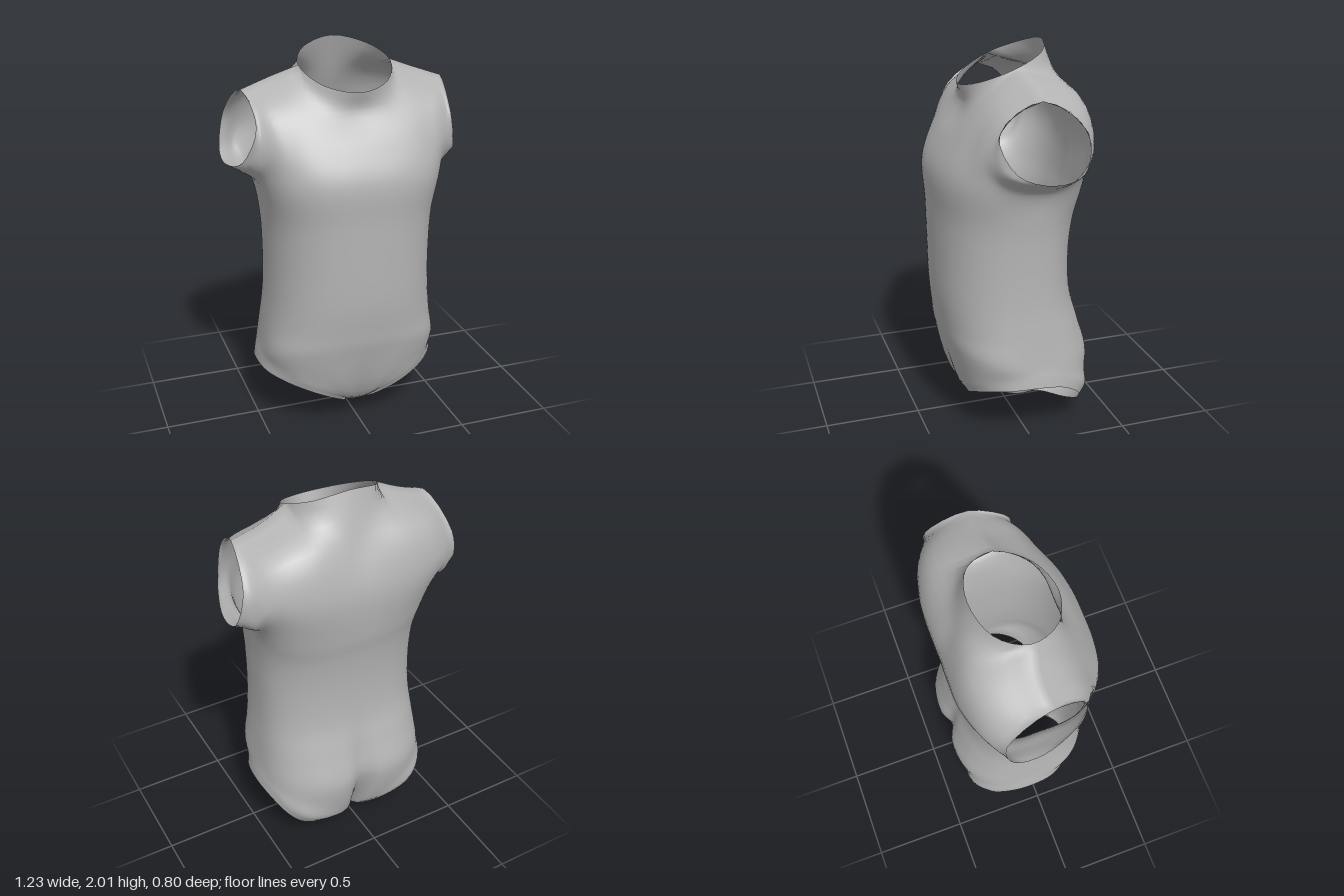
import * as THREE from 'three';
import { mergeVertices } from 'three/addons/utils/BufferGeometryUtils.js';

const V = (x, y, z) => new THREE.Vector3(x, y, z);
const AROUND = 4, UP = 5; // samples between control points

// Control rows run over one half, from the front centre to the back centre (15 points).
const legEdge = [
  [0, 0.035, 0.06], [0.012, 0.04, 0.06], [0.07, 0.1, 0.21], [0.18, 0.17, 0.265], [0.29, 0.225, 0.26],
  [0.4, 0.27, 0.2], [0.47, 0.293, 0.1], [0.49, 0.298, -0.03], [0.475, 0.275, -0.16], [0.42, 0.2, -0.27],
  [0.34, 0.12, -0.3], [0.2, 0.05, -0.28], [0.045, 0.025, -0.18], [0.014, 0.035, -0.03], [0, 0.035, 0.06],
];
const hips = [
  [0, 0.12, 0.235], [0.06, 0.14, 0.255], [0.14, 0.2, 0.285], [0.23, 0.25, 0.29], [0.325, 0.29, 0.265],
  [0.41, 0.325, 0.2], [0.465, 0.345, 0.1], [0.482, 0.35, -0.03], [0.468, 0.33, -0.16], [0.42, 0.26, -0.28],
  [0.34, 0.2, -0.345], [0.23, 0.15, -0.36], [0.11, 0.09, -0.325], [0.03, 0.035, -0.25], [0, 0.002, -0.14],
];
const upperChest = [
  [0, 1.54, 0.33], [0.15, 1.54, 0.325], [0.27, 1.54, 0.31], [0.35, 1.53, 0.29], [0.41, 1.51, 0.27],
  [0.46, 1.48, 0.23], [0.51, 1.42, 0.16], [0.54, 1.375, -0.04], [0.53, 1.42, -0.22], [0.5, 1.5, -0.275],
  [0.43, 1.54, -0.315], [0.35, 1.54, -0.34], [0.25, 1.54, -0.357], [0.1, 1.54, -0.355], [0, 1.54, -0.35],
];
const shoulders = [
  [0, 1.7, 0.225], [0.14, 1.7, 0.225], [0.26, 1.73, 0.19], [0.36, 1.72, 0.18], [0.45, 1.69, 0.18],
  [0.49, 1.56, 0.21], [0.545, 1.45, 0.15], [0.58, 1.4, -0.05], [0.575, 1.45, -0.21], [0.545, 1.58, -0.245],
  [0.48, 1.7, -0.24], [0.38, 1.75, -0.265], [0.25, 1.78, -0.275], [0.1, 1.79, -0.265], [0, 1.79, -0.26],
];
// Neckline, shoulder seam, armhole, the same seam again, back neckline
const topEdge = [
  [0, 1.795, 0.245], [0.16, 1.825, 0.18], [0.24, 1.9, 0.01], [0.37, 1.85, -0.02], [0.53, 1.795, -0.01],
  [0.505, 1.65, 0.19], [0.56, 1.465, 0.12], [0.61, 1.415, -0.05], [0.61, 1.455, -0.19], [0.575, 1.64, -0.22],
  [0.53, 1.795, -0.01], [0.37, 1.85, -0.02], [0.24, 1.9, 0.01], [0.17, 1.96, -0.135], [0, 2, -0.19],
];
// Smooth runs of the top edge, by control point: neck and armholes are closed, seams are open
const topRuns = [
  { ids: [12, 13, 14, 15, 26, 27, 0, 1], closed: true },
  { ids: [4, 5, 6, 7, 8, 9], closed: true },
  { ids: [18, 19, 20, 21, 22, 23], closed: true },
  ...[2, 10, 16, 24].map((k) => ({ ids: [k, k + 1, k + 2], closed: false })),
];

// Trunk section: rounded box outline (smaller p is squarer) with a groove down the back
const angles = [0, 9, 24.5, 40, 54.5, 68, 80, 92, 103, 114, 127, 141, 156, 173, 180];
function trunk(yFront, yBack, width, front, back, p, groove) {
  return angles.map((deg) => {
    const a = THREE.MathUtils.degToRad(deg), c = Math.cos(a);
    const x = deg === 180 ? 0 : width * Math.pow(Math.sin(a), p);
    let z = (c > 0 ? front : -back) * Math.pow(Math.abs(c), p);
    if (c < 0) z += groove * Math.exp(-((x / 0.08) ** 2));
    return [x, (yFront + yBack) / 2 + (c * (yFront - yBack)) / 2, z];
  });
}

const rows = [
  legEdge,
  hips,
  trunk(0.46, 0.34, 0.473, 0.36, 0.405, 0.74, 0.055),
  trunk(0.57, 0.54, 0.455, 0.378, 0.36, 0.78, 0.025),
  trunk(0.72, 0.72, 0.44, 0.395, 0.31, 0.81, 0.005),
  trunk(0.95, 0.95, 0.435, 0.4, 0.298, 0.81, 0),
  trunk(1.16, 1.14, 0.442, 0.4, 0.315, 0.77, 0),
  trunk(1.38, 1.28, 0.475, 0.4, 0.34, 0.7, 0),
  upperChest,
  shoulders,
  topEdge,
];

// Mirror a half row to a full loop and sample it, run by run.
function sampleLoop(half, runs) {
  const pts = half.map((p) => V(...p));
  for (let i = half.length - 2; i > 0; i--) pts.push(V(-half[i][0], half[i][1], half[i][2]));
  const out = [];
  for (const { ids, closed } of runs || [{ ids: pts.map((_, i) => i), closed: true }]) {
    const curve = new THREE.CatmullRomCurve3(ids.map((i) => pts[i]), closed);
    const spans = closed ? ids.length : ids.length - 1;
    for (let k = 0; k < spans; k++) {
      for (let s = 0; s < AROUND; s++) out[ids[k] * AROUND + s] = curve.getPoint((k + s / AROUND) / spans);
    }
  }
  return out;
}

function shellGeometry() {
  const loops = rows.map((r) => sampleLoop(r, r === topEdge ? topRuns : null));
  const cols = loops[0].length, levels = (rows.length - 1) * UP;
  const pos = [], index = [];
  for (let i = 0; i < cols; i++) {
    const curve = new THREE.CatmullRomCurve3(loops.map((l) => l[i]));
    for (let j = 0; j <= levels; j++) pos.push(...curve.getPoint(j / levels).toArray());
  }
  for (let i = 0; i < cols; i++) {
    for (let j = 0; j < levels; j++) {
      const a = i * (levels + 1) + j, b = ((i + 1) % cols) * (levels + 1) + j;
      index.push(a, b, b + 1, a, b + 1, a + 1);
    }
  }
  let geo = new THREE.BufferGeometry();
  geo.setAttribute('position', new THREE.Float32BufferAttribute(pos, 3));
  geo.setIndex(index);
  geo = mergeVertices(geo, 1e-4); // closes the shoulder seams and crotch
  geo.computeVertexNormals();
  return geo;
}

export function createModel() {
  const group = new THREE.Group();
  group.name = 'bodysuit';
  const grey = new THREE.MeshStandardMaterial({ color: 0xb4b4b4, side: THREE.DoubleSide });
  grey.name = 'grey fabric';
  const shell = new THREE.Mesh(shellGeometry(), grey);
  shell.name = 'torso shell';
  group.add(shell);
  return group;
}
